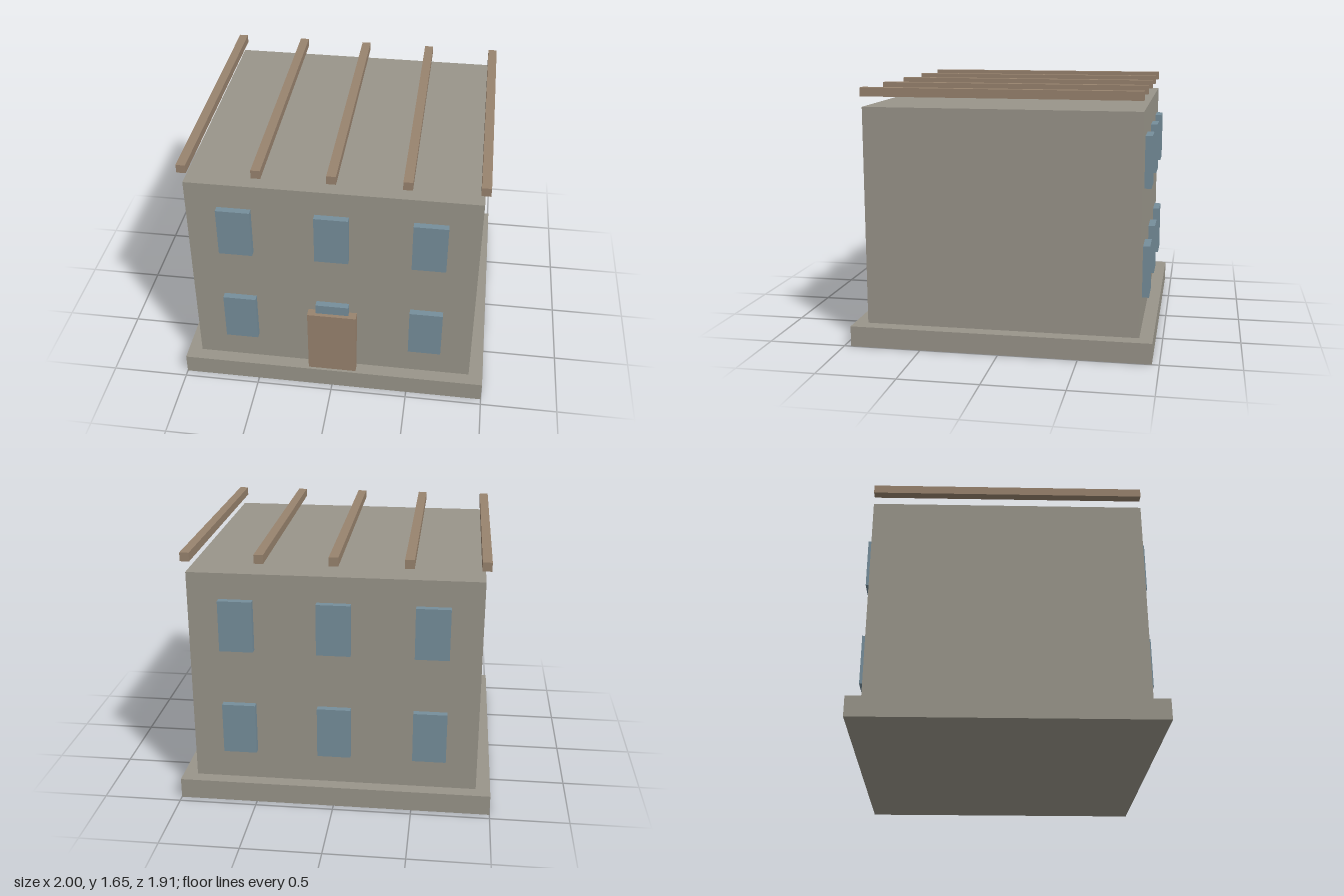
import * as THREE from 'three';

export function createModel() {
  const model = new THREE.Group();
  model.name = 'house';

  const material = (name, color) => {
    const m = new THREE.MeshStandardMaterial({ color });
    m.name = name;
    return m;
  };
  const stone = material('stone', 0x99958a);
  const wood = material('wood', 0x98836e);
  const glass = material('glass', 0x768e9b);

  // Box given by its centre in x and its lower and upper limits in y and z
  const box = (name, mat, x, width, [y0, y1], [z0, z1]) => {
    const mesh = new THREE.Mesh(new THREE.BoxGeometry(width, y1 - y0, z1 - z0), mat);
    mesh.position.set(x, (y0 + y1) / 2, (z0 + z1) / 2);
    mesh.name = name;
    model.add(mesh);
  };

  // Plinth and main block
  box('plinth', stone, 0, 2, [0, 0.132], [-0.955, 0.955]);
  box('walls', stone, 0, 1.816, [0.132, 1.524], [-0.87, 0.868]);

  // Door
  box('door', wood, 0, 0.316, [0.132, 0.598], [0.877, 0.937]);

  // Two rows of three windows, front and back
  for (const x of [-0.605, 0, 0.605]) {
    for (const y of [[0.334, 0.664], [1.03, 1.358]]) {
      box('frontWindow', glass, x, 0.212, y, [0.868, 0.912]);
      box('backWindow', glass, x, 0.212, y, [-0.914, -0.87]);
    }
  }

  // Roof beams running front to back
  for (let i = -2; i <= 2; i++) {
    box('roofBeam', wood, i * 0.4545, 0.058, [1.591, 1.646], [-0.87, 0.868]);
  }

  return model;
}
